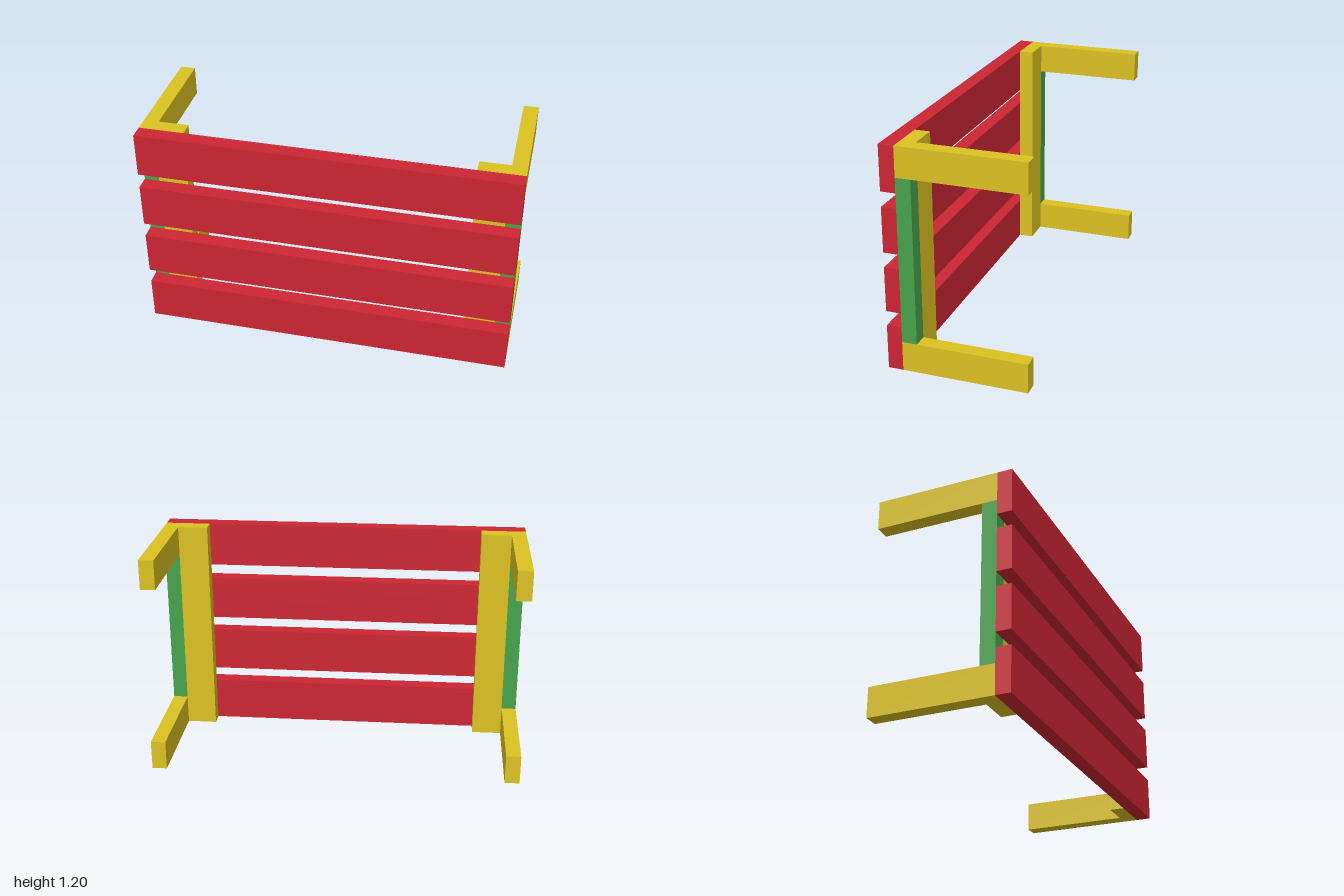
import * as THREE from 'three';

const red = new THREE.MeshStandardMaterial({ color: 0xcc2633 });
const yellow = new THREE.MeshStandardMaterial({ color: 0xdcc222 });
const green = new THREE.MeshStandardMaterial({ color: 0x47a34b });

// Box given by its extents along each axis
function board(name, material, [x0, x1], [y0, y1], [z0, z1]) {
  const mesh = new THREE.Mesh(new THREE.BoxGeometry(x1 - x0, y1 - y0, z1 - z0), material);
  mesh.position.set((x0 + x1) / 2, (y0 + y1) / 2, (z0 + z1) / 2);
  mesh.name = name;
  return mesh;
}

export function createModel() {
  const group = new THREE.Group();
  group.name = 'slattedFrame';
  const height = 1.2, back = -0.373, seam = 0.293, front = 0.373, thick = 0.08;

  // Four horizontal front slats
  for (let i = 0; i < 4; i++) {
    const y = i * 0.32;
    group.add(board(`slat${i + 1}`, red, [-1, 1], [y, y + 0.24], [seam, front]));
  }

  // Mirrored side frames: inner post, outer filler strip, two arms reaching back
  for (const side of [-1, 1]) {
    const label = side > 0 ? 'left' : 'right';
    const span = (a, b) => (side > 0 ? [a, b] : [-b, -a]);
    const outer = span(0.92, 1), depth = [seam - thick, seam];
    group.add(
      board(`${label}Post`, yellow, span(0.757, 0.92), [0, height], depth),
      board(`${label}Filler`, green, outer, [0.16, height - 0.16], depth),
      board(`${label}LowerArm`, yellow, outer, [0, 0.16], [back, seam]),
      board(`${label}UpperArm`, yellow, outer, [height - 0.16, height], [back, seam]),
    );
  }
  return group;
}
